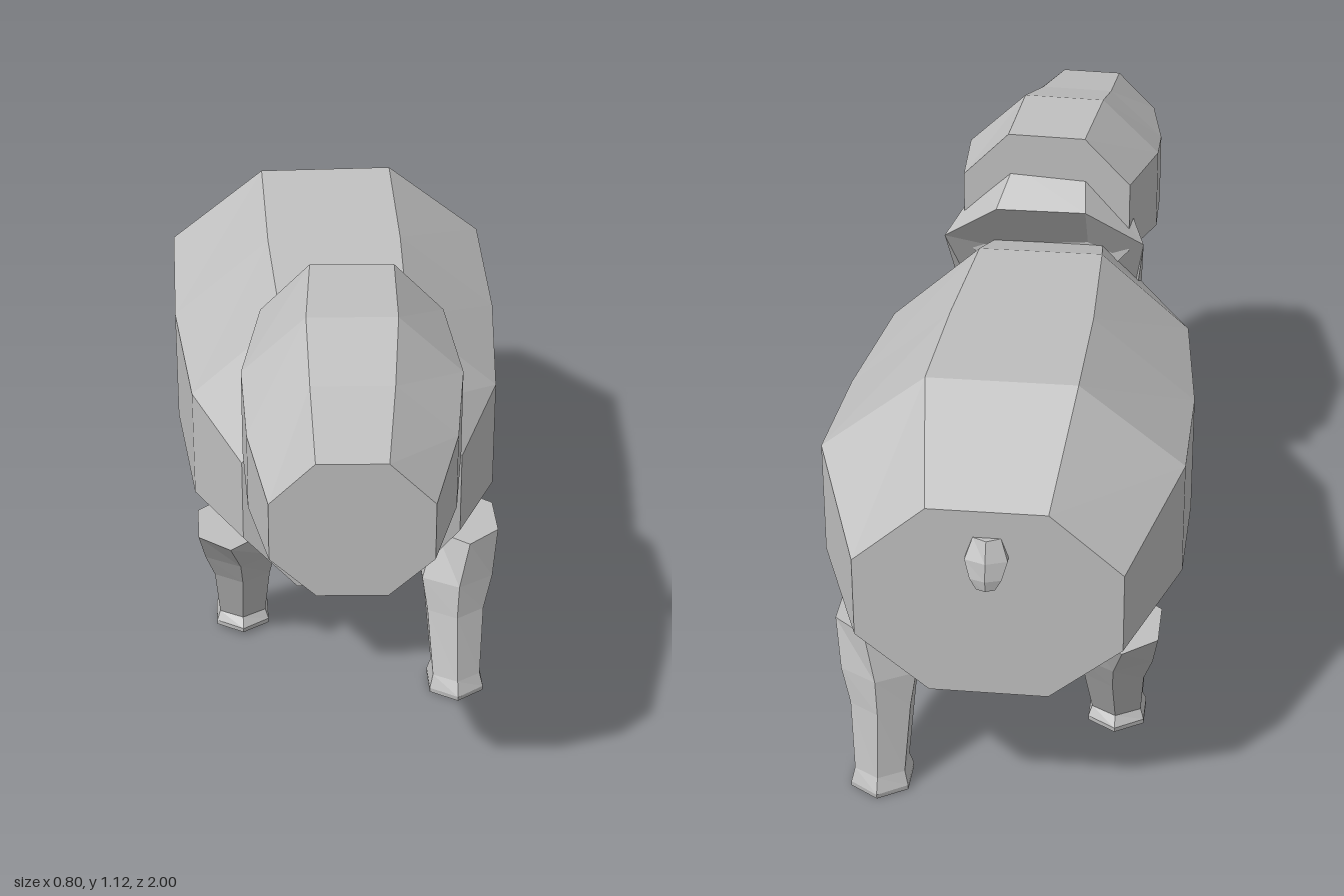
import * as THREE from 'three';

const hide = new THREE.MeshStandardMaterial({ color: 0xc0c0c0, flatShading: true });
hide.name = 'grey hide';

// Skin a list of equal-sized point rings, closing both ends
function loft(name, rings) {
  const pos = [];
  const n = rings[0].length;
  const tri = (a, b, c) => pos.push(...a, ...b, ...c);
  for (let r = 0; r < rings.length - 1; r++) {
    for (let i = 0; i < n; i++) {
      const j = (i + 1) % n;
      tri(rings[r][i], rings[r + 1][i], rings[r + 1][j]);
      tri(rings[r][i], rings[r + 1][j], rings[r][j]);
    }
  }
  const last = rings[rings.length - 1];
  for (let i = 1; i < n - 1; i++) {
    tri(rings[0][0], rings[0][i], rings[0][i + 1]);
    tri(last[0], last[i + 1], last[i]);
  }
  // Turn the faces outward if the enclosed volume is negative
  const a = new THREE.Vector3(), b = new THREE.Vector3(), c = new THREE.Vector3();
  let volume = 0;
  for (let k = 0; k < pos.length; k += 9) {
    a.fromArray(pos, k); b.fromArray(pos, k + 3); c.fromArray(pos, k + 6);
    volume += a.dot(b.cross(c));
  }
  if (volume < 0) {
    for (let k = 0; k < pos.length; k += 9) {
      for (let m = 0; m < 3; m++) {
        [pos[k + 3 + m], pos[k + 6 + m]] = [pos[k + 6 + m], pos[k + 3 + m]];
      }
    }
  }
  const geo = new THREE.BufferGeometry();
  geo.setAttribute('position', new THREE.Float32BufferAttribute(pos, 3));
  geo.computeVertexNormals();
  const mesh = new THREE.Mesh(geo, hide);
  mesh.name = name;
  return mesh;
}

// Octagon from four rows [halfWidth, y, z], top to bottom; yaw skews z along x
function octagon(rows, cx = 0, yaw = 0) {
  const side = (s) => rows.map(([w, y, z]) => [cx + s * w, y, z + s * w * yaw]);
  return [...side(1), ...side(-1).reverse()];
}

// Upright octagon: z, centre x, flat half width, full half width, four heights
function slice([z, cx, flat, full, top, upper, lower, bottom], yaw) {
  return octagon([[flat, top, z], [full, upper, z], [full, lower, z], [flat, bottom, z]], cx, yaw);
}

// Level hexagon with corners fore and aft
function hexagon(cx, y, cz, hx, hz) {
  return Array.from({ length: 6 }, (_, i) => {
    const t = (i * Math.PI) / 3;
    return [cx + (hx / 0.866) * Math.sin(t), y, cz + hz * Math.cos(t)];
  });
}

function leg(name, x, topZ, midZ, footZ, ground) {
  const out = Math.sign(x);
  return loft(name, [
    hexagon(x + out * 0.03, 0.39, topZ, 0.075, 0.125),
    hexagon(x + out * 0.005, 0.28, (topZ + midZ * 3) / 4, 0.085, 0.1),
    hexagon(x, 0.2, midZ * 0.82 + footZ * 0.18, 0.068, 0.085),
    hexagon(x, 0.045, footZ, 0.057, 0.068),
    hexagon(x, ground + 0.012, footZ, 0.065, 0.086),
    hexagon(x, ground, footZ, 0.065, 0.084),
  ]);
}

export function createModel() {
  const model = new THREE.Group();
  model.name = 'animal';

  // Barrel body, front to rear
  model.add(loft('body', [
    [0.37, 0, 0.13, 0.255, 0.805, 0.668, 0.465, 0.325],
    [0.1, 0, 0.15, 0.365, 0.895, 0.705, 0.432, 0.24],
    [-0.29, 0, 0.165, 0.402, 0.918, 0.72, 0.432, 0.235],
    [-0.66, 0, 0.167, 0.402, 0.945, 0.76, 0.492, 0.275],
    [-0.96, -0.005, 0.13, 0.29, 0.798, 0.66, 0.472, 0.34],
  ].map((s) => slice(s, 0))));

  // Head, nose to back, turned slightly to one side
  model.add(loft('head', [
    [0.985, -0.042, 0.075, 0.172, 1.02, 0.925, 0.792, 0.702],
    [0.74, -0.025, 0.09, 0.225, 1.065, 0.945, 0.768, 0.648],
    [0.535, -0.012, 0.1, 0.243, 1.122, 0.988, 0.785, 0.655],
    [0.275, 0.005, 0.095, 0.208, 1.122, 1.008, 0.83, 0.7],
  ].map((s) => slice(s, 0.06))));

  // Neck with a flared collar between chest and head
  model.add(loft('neck', [
    octagon([[0.1, 0.8, 0.3], [0.215, 0.7, 0.33], [0.205, 0.55, 0.385], [0.105, 0.43, 0.42]]),
    octagon([[0.11, 0.96, 0.19], [0.25, 0.85, 0.26], [0.24, 0.7, 0.37], [0.09, 0.61, 0.455]], 0.01),
    octagon([[0.09, 1.03, 0.3], [0.18, 0.96, 0.34], [0.18, 0.86, 0.39], [0.09, 0.79, 0.43]]),
  ]));

  // Walking legs
  model.add(leg('frontLeftLeg', 0.257, 0.19, 0.25, 0.325, 0));
  model.add(leg('frontRightLeg', -0.255, 0.18, 0.085, 0.012, 0.01));
  model.add(leg('rearLeftLeg', 0.257, -0.72, -0.785, -0.838, 0));
  model.add(leg('rearRightLeg', -0.255, -0.73, -0.645, -0.542, 0.01));

  // Stubby tail
  model.add(loft('tail', [
    hexagon(-0.005, 0.735, -0.945, 0.03, 0.03),
    hexagon(-0.005, 0.69, -0.96, 0.046, 0.034),
    hexagon(-0.005, 0.65, -0.978, 0.034, 0.022),
    hexagon(-0.005, 0.625, -0.982, 0.02, 0.015),
  ]));

  return model;
}
